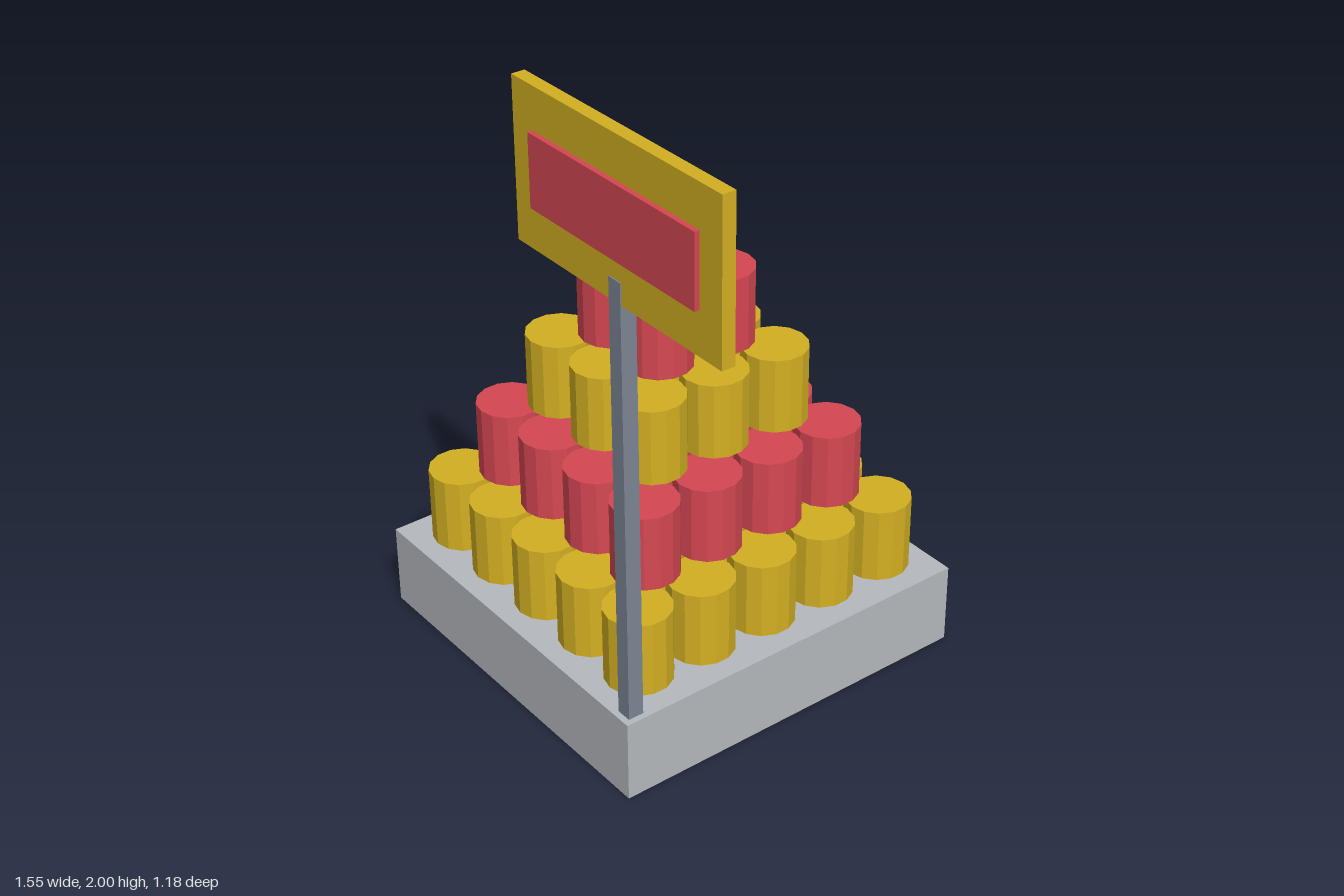
import * as THREE from 'three';

const paint = (name, color) => {
  const m = new THREE.MeshStandardMaterial({ color });
  m.name = name;
  m.flatShading = true;
  return m;
};

export function createModel() {
  const group = new THREE.Group();
  const gold = paint('gold', 0xd4b022);
  const red = paint('red', 0xd64853);
  const lightGrey = paint('lightGrey', 0xb6babe);
  const steel = paint('steel', 0x7c8794);

  const add = (name, geometry, material, x, y, z, parent = group) => {
    const mesh = new THREE.Mesh(geometry, material);
    mesh.name = name;
    mesh.position.set(x, y, z);
    parent.add(mesh);
    return mesh;
  };

  // Plinth under the stack
  const stackX = -0.19;
  add('base', new THREE.BoxGeometry(1.18, 0.255, 1.18), lightGrey, stackX, 0.1275, 0);

  // Pyramid of cans, 5 x 5 at the bottom up to a single can, colours alternating
  const can = new THREE.CylinderGeometry(0.1, 0.1, 0.235, 14);
  const spacing = 0.218;
  for (let layer = 0; layer < 5; layer++) {
    const n = 5 - layer;
    const tier = new THREE.Group();
    tier.name = `canLayer${layer + 1}`;
    tier.position.set(stackX, 0.382 + layer * 0.244, 0);
    group.add(tier);
    for (let i = 0; i < n; i++) {
      for (let j = 0; j < n; j++) {
        add('can', can, layer % 2 ? red : gold,
          (i - (n - 1) / 2) * spacing, 0, (j - (n - 1) / 2) * spacing, tier);
      }
    }
  }

  // Sign post at the front corner
  add('signPost', new THREE.BoxGeometry(0.048, 1.35, 0.048), steel, 0.358, 0.93, 0.547);

  // Sign board with its raised front panel
  add('signBoard', new THREE.BoxGeometry(0.838, 0.46, 0.04), gold, 0.356, 1.77, 0.547);
  add('signPanel', new THREE.BoxGeometry(0.67, 0.21, 0.015), red, 0.356, 1.772, 0.5745);

  return group;
}
